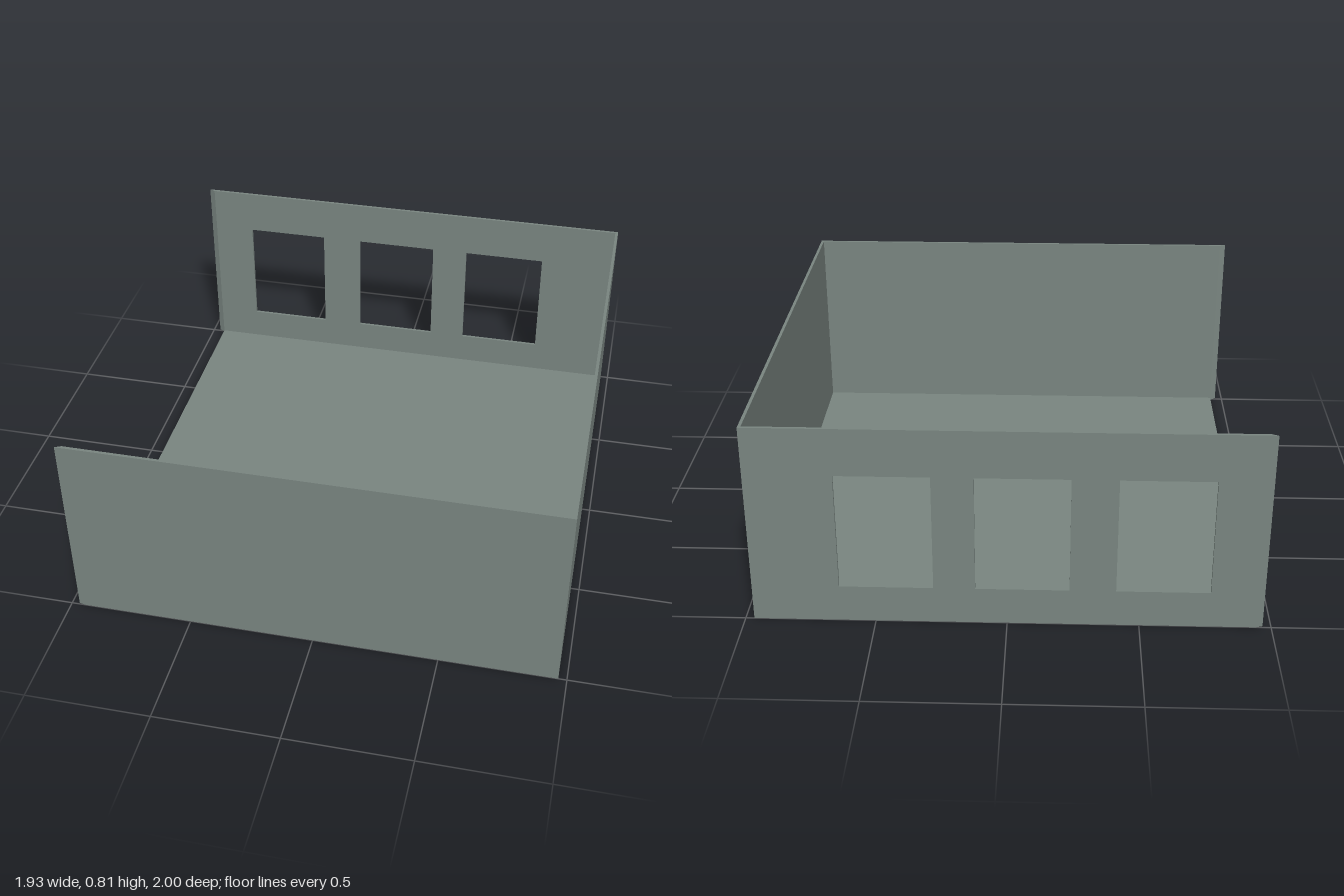
import * as THREE from 'three';

const X = 0.967, Z = 1, H = 0.815, T = 0.012;
const RIM = -0.942; // inner edge of the open side

export function createModel() {
  const group = new THREE.Group();
  group.name = 'openRoom';
  const material = new THREE.MeshStandardMaterial({ color: 0x7a8681, flatShading: true });

  function add(name, geometry) {
    const mesh = new THREE.Mesh(geometry, material);
    mesh.name = name;
    group.add(mesh);
  }

  function slab(name, x0, x1, y0, y1, z0, z1) {
    const geometry = new THREE.BoxGeometry(x1 - x0, y1 - y0, z1 - z0);
    geometry.translate((x0 + x1) / 2, (y0 + y1) / 2, (z0 + z1) / 2);
    add(name, geometry);
  }

  // Long wall with optional window openings and a bevelled free end
  function longWall(name, z0, windows) {
    const shape = new THREE.Shape([
      [RIM, 0], [X, 0], [X, H], [-X, H], [-X, 0.006],
    ].map(([x, y]) => new THREE.Vector2(x, y)));
    for (const [x0, x1] of windows) {
      shape.holes.push(new THREE.Path([
        [x0, 0.15], [x0, 0.624], [x1, 0.624], [x1, 0.15],
      ].map(([x, y]) => new THREE.Vector2(x, y))));
    }
    const geometry = new THREE.ExtrudeGeometry(shape, { depth: T, bevelEnabled: false });
    geometry.translate(0, 0, z0);
    // Pull the inner corner of the free end back to the rim
    const p = geometry.attributes.position;
    for (let i = 0; i < p.count; i++) {
      if (p.getX(i) < -0.95 && Math.abs(p.getZ(i)) < Z - T / 2) p.setX(i, RIM);
    }
    geometry.computeVertexNormals();
    add(name, geometry);
  }

  // Floor and solid left wall
  slab('floor', RIM, X - T, 0, T, -Z + T, Z - T);
  slab('leftWall', X - T, X, 0, H, -Z + T, Z - T);

  // Solid front wall, back wall with three windows
  longWall('frontWall', Z - T, []);
  longWall('backWall', -Z, [[-0.765, -0.41], [-0.235, 0.12], [0.278, 0.635]]);

  return group;
}
